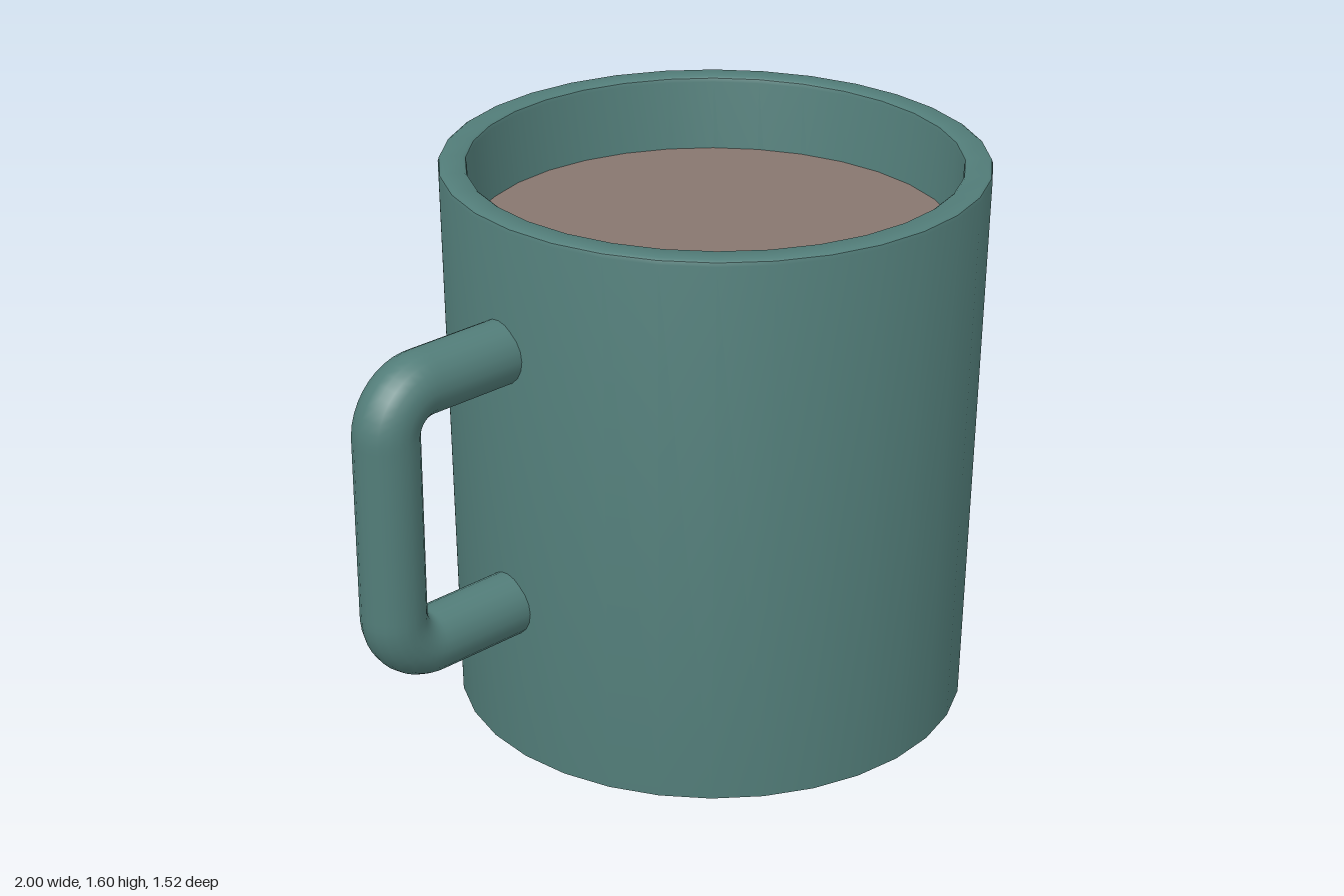
import * as THREE from 'three';
import { toCreasedNormals } from 'three/addons/utils/BufferGeometryUtils.js';

const CUP_X = 0.235;

export function createModel() {
  const model = new THREE.Group();
  model.name = 'mug';
  const glaze = new THREE.MeshStandardMaterial({ color: 0x527d79 });
  const cocoa = new THREE.MeshStandardMaterial({ color: 0x87766f });

  const add = (name, geometry, material, x, y, z) => {
    const mesh = new THREE.Mesh(geometry, material);
    mesh.name = name;
    mesh.position.set(x, y, z);
    model.add(mesh);
    return mesh;
  };

  // Cup: base, tapered outside, softened rim, inner wall and floor
  const profile = [
    [0, 0], [0.737, 0], [0.761, 1.585], [0.758, 1.595], [0.75, 1.6],
    [0.692, 1.6], [0.685, 1.595], [0.682, 1.585], [0.66, 0.08], [0, 0.08],
  ].map(([r, y]) => new THREE.Vector2(r, y));
  const cup = toCreasedNormals(new THREE.LatheGeometry(profile, 32), Math.PI / 5);
  add('cup', cup, glaze, CUP_X, 0, 0);

  // Drink surface
  const drink = new THREE.CircleGeometry(0.679, 32).rotateX(-Math.PI / 2);
  add('drink', drink, cocoa, CUP_X, 1.38, 0);

  // Handle: a round tube along a squared loop with rounded corners
  const v = (x, y) => new THREE.Vector3(x, y, 0);
  const [end, out, low, high, bend] = [-0.475, -0.91, 0.47, 1.23, 0.12];
  const path = new THREE.CurvePath();
  path.add(new THREE.LineCurve3(v(end, high), v(out + bend, high)));
  path.add(new THREE.CubicBezierCurve3(
    v(out + bend, high), v(out + bend * 0.45, high), v(out, high - bend * 0.45), v(out, high - bend)));
  path.add(new THREE.LineCurve3(v(out, high - bend), v(out, low + bend)));
  path.add(new THREE.CubicBezierCurve3(
    v(out, low + bend), v(out, low + bend * 0.45), v(out + bend * 0.45, low), v(out + bend, low)));
  path.add(new THREE.LineCurve3(v(out + bend, low), v(end, low)));
  add('handle', new THREE.TubeGeometry(path, 80, 0.09, 20), glaze, 0, 0, -0.055);

  return model;
}
